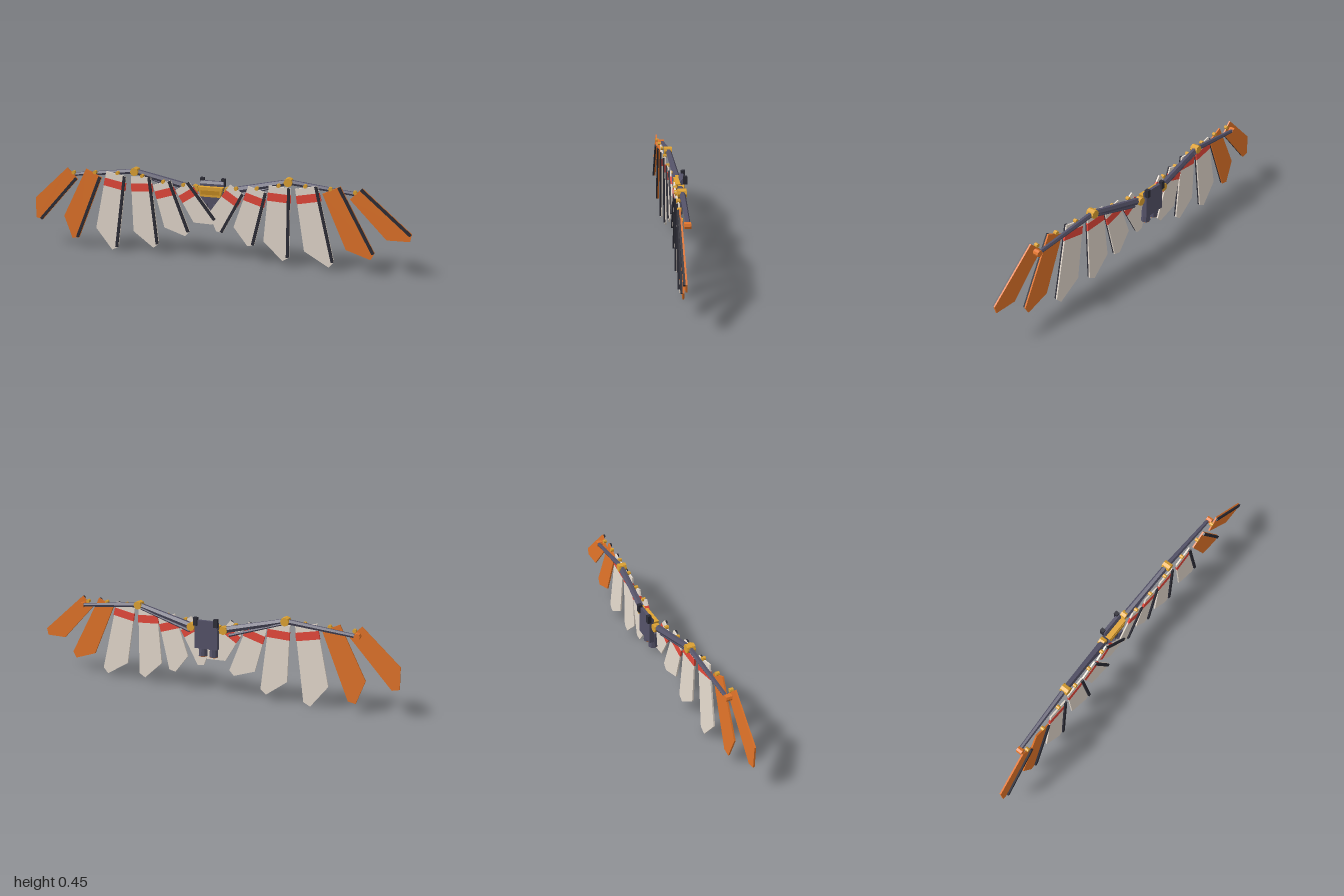
import * as THREE from 'three';

const mat = (name, color) => Object.assign(new THREE.MeshStandardMaterial({ color }), { name });
const M = {
  ivory: mat('ivory', 0xe6dbcf), orange: mat('orange', 0xe27429), red: mat('red', 0xea4a3c),
  gold: mat('gold', 0xdfa332), darkGold: mat('dark gold', 0xc48a20),
  steel: mat('steel', 0x545268), charcoal: mat('charcoal', 0x2d2d37),
};

function add(parent, name, geometry, material, x = 0, y = 0, z = 0) {
  const mesh = new THREE.Mesh(geometry, material);
  mesh.name = name;
  mesh.position.set(x, y, z);
  parent.add(mesh);
  return mesh;
}

// Faceted cylinder along y
function faceted(rTop, rBottom, length, sides) {
  const g = new THREE.CylinderGeometry(rTop, rBottom, length, sides).toNonIndexed();
  g.computeVertexNormals();
  return g;
}

// Faceted rod between two points
function rod(parent, name, a, b, r0, r1, material) {
  const from = new THREE.Vector3(...a), dir = new THREE.Vector3(...b).sub(from);
  const mesh = add(parent, name, faceted(r1, r0, dir.length(), 6), material);
  mesh.position.copy(from).addScaledVector(dir, 0.5);
  mesh.quaternion.setFromUnitVectors(new THREE.Vector3(0, 1, 0), dir.normalize());
}

// Flat plate from outline points, centred on z
function plate(points, depth) {
  const shape = new THREE.Shape(points.map(p => new THREE.Vector2(...p)));
  return new THREE.ExtrudeGeometry(shape, { depth, bevelEnabled: false }).translate(0, 0, -depth / 2);
}

// Root x, root y, z, outward angle, length, root width, blade colour
const FEATHERS = [
  [0.749, 0.405, 0.043, 46, 0.342, 0.082, M.orange],
  [0.628, 0.413, 0.038, 26, 0.39, 0.096, M.orange],
  [0.503, 0.416, 0.032, 11, 0.415, 0.113, M.ivory],
  [0.368, 0.408, 0.026, -3, 0.38, 0.11, M.ivory],
  [0.255, 0.384, 0.02, -17, 0.3, 0.102, M.ivory],
  [0.146, 0.374, 0.014, -33, 0.25, 0.088, M.ivory],
];

function feather(length, width, material) {
  const f = new THREE.Group();
  f.name = 'feather';
  const h = width / 2, flare = 0.02;
  const end = [h + flare, -0.94 * length];
  add(f, 'blade', plate([[-h, 0], [-h - 0.008, -0.77 * length], [h - 0.012, -length], end, [h, 0]], 0.008), material);
  // Stiff spar on the front, just inside the +x edge
  const spar = add(f, 'spar', new THREE.BoxGeometry(0.014, Math.hypot(flare, end[1]), 0.009), M.charcoal,
    (h + end[0]) / 2 - 0.008, end[1] / 2, 0.0085);
  spar.rotation.z = Math.atan2(flare, -end[1]);
  // Coloured band wrapping the pale blades
  if (material === M.ivory) {
    add(f, 'band', plate([[-h - 0.002, -0.035], [-h - 0.003, -0.077], [h + 0.007, -0.077], [h + 0.004, -0.035]], 0.0098), M.red);
  }
  return f;
}

function wing(side) {
  const w = new THREE.Group();
  w.name = side > 0 ? 'leftWing' : 'rightWing';
  const shoulder = [side * 0.09, 0.355, -0.018], elbow = [side * 0.408, 0.43, 0.002], wrist = [side * 0.765, 0.392, 0.01];
  // Arm segments and strut
  rod(w, 'upperArm', shoulder, elbow, 0.018, 0.015, M.steel);
  rod(w, 'forearm', elbow, wrist, 0.014, 0.01, M.steel);
  rod(w, 'strut', [side * 0.11, 0.325, -0.004], [side * 0.39, 0.415, -0.01], 0.008, 0.006, M.steel);
  // Joints
  const joint = (name, [x, y, z], r, len, m) => { add(w, name, faceted(r, r, len, 8), m, x, y, z).rotation.x = Math.PI / 2; };
  joint('shoulderJoint', [side * 0.09, 0.355, -0.023], 0.022, 0.03, M.gold);
  joint('elbowJoint', [elbow[0], elbow[1], 0.004], 0.022, 0.042, M.gold);
  joint('wristJoint', [wrist[0], wrist[1], 0.014], 0.016, 0.03, M.orange);
  // Fanned feathers, each pinned by a small pivot
  for (const [x, y, z, angle, length, width, material] of FEATHERS) {
    const f = feather(length, width, material);
    f.position.set(side * x, y, z);
    f.rotation.z = side * angle * Math.PI / 180;
    w.add(f);
    joint('featherPivot', [side * (x - 0.006), y + 0.005, z - 0.002], 0.01, 0.018, M.gold);
  }
  return w;
}

function pack() {
  const p = new THREE.Group();
  p.name = 'backpack';
  // Body with a chamfered top edge
  const body = add(p, 'body', plate([[-0.022, 0.385], [-0.03, 0.398], [-0.045, 0.398], [-0.045, 0.25], [-0.022, 0.25]], 0.125), M.steel);
  body.rotation.y = -Math.PI / 2;
  // Front chest block, inset panel and pointed keel
  add(p, 'frontBlock', plate([[-0.066, 0.373], [-0.052, 0.322], [0.052, 0.322], [0.066, 0.373]], 0.028), M.gold, 0, 0, -0.01);
  add(p, 'frontPanel', new THREE.BoxGeometry(0.1, 0.022, 0.004), M.darkGold, 0, 0.345, 0.005);
  add(p, 'keel', plate([[-0.05, 0.322], [-0.01, 0.245], [0.01, 0.245], [0.05, 0.322]], 0.02), M.steel, 0, 0, -0.014);
  for (const s of [-1, 1]) {
    add(p, 'post', new THREE.BoxGeometry(0.02, 0.042, 0.021), M.charcoal, s * 0.056, 0.391, -0.0455);
    // Downward thrusters with bright mouths
    add(p, 'thruster', faceted(0.019, 0.024, 0.08, 8), M.steel, s * 0.03, 0.246, -0.012);
    add(p, 'thrusterMouth', faceted(0.022, 0.022, 0.004, 8), M.orange, s * 0.03, 0.2055, -0.012);
  }
  return p;
}

export function createModel() {
  const model = new THREE.Group();
  model.name = 'wingPack';
  // The one-sided spars make the span uneven, so the pack sits slightly off centre
  const rig = new THREE.Group();
  rig.name = 'rig';
  rig.position.x = -0.0235;
  rig.add(pack(), wing(1), wing(-1));
  model.add(rig);
  return model;
}
